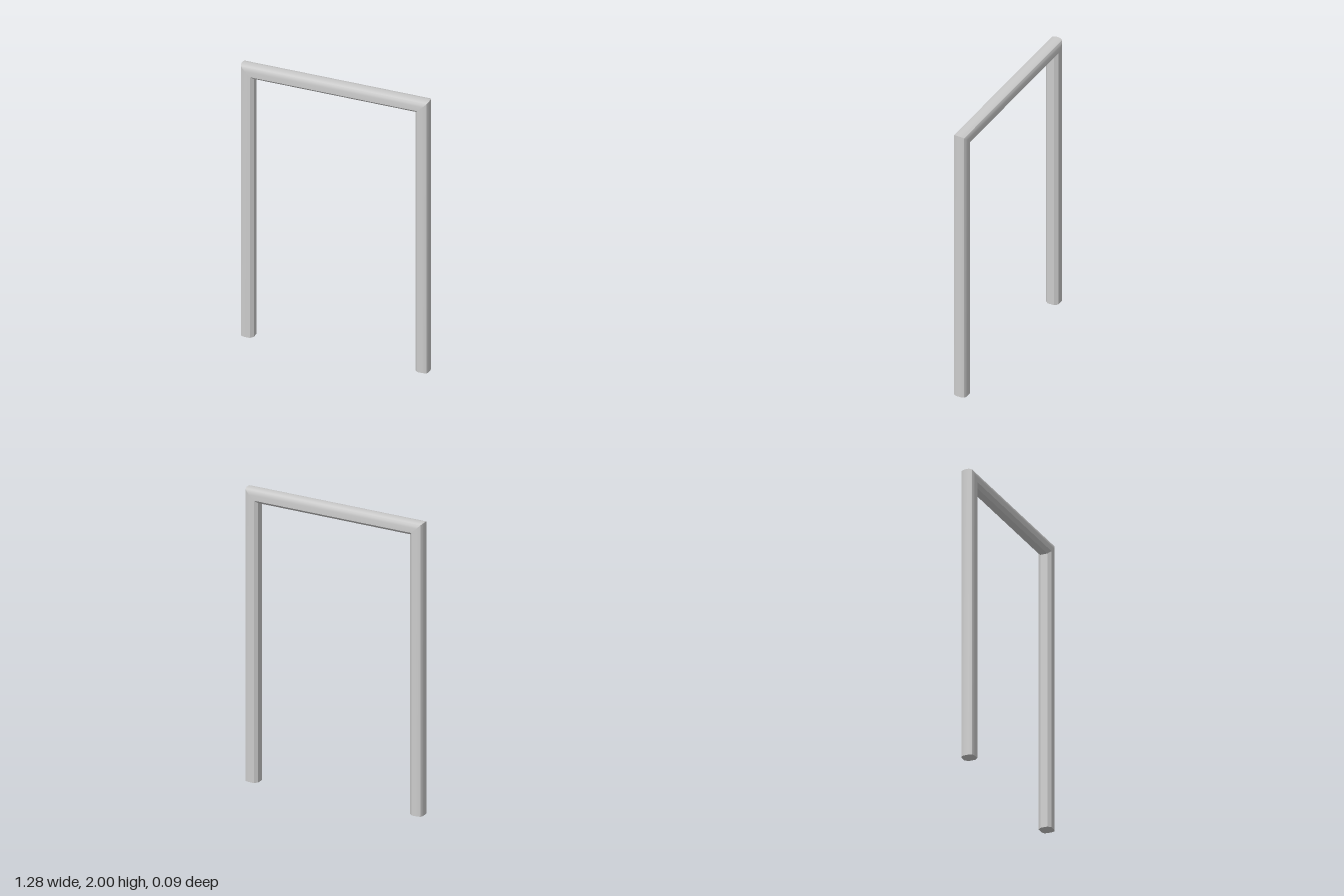
import * as THREE from 'three';
import { toCreasedNormals } from 'three/addons/utils/BufferGeometryUtils.js';

const HALF_WIDTH = 0.64;
const HEIGHT = 2;

// Moulding profile: [distance in from the outer edge, depth z], front half
const half = [
  [0, 0.012], [0.002, 0.025], [0.007, 0.037], [0.02, 0.043], [0.035, 0.045],
  [0.07, 0.045], [0.09, 0.024],
];
const profile = [...half, ...half.map(([d, z]) => [d, -z]).reverse()];

// Cross-sections along the frame: foot, mitred corner, mitred corner, foot
const stations = [
  ([d, z]) => [-HALF_WIDTH + d, 0, z],
  ([d, z]) => [-HALF_WIDTH + d, HEIGHT - d, z],
  ([d, z]) => [HALF_WIDTH - d, HEIGHT - d, z],
  ([d, z]) => [HALF_WIDTH - d, 0, z],
];

// One bar between two neighbouring stations, closed where it meets the floor
function bar(name, from, material) {
  const n = profile.length;
  const start = profile.map(stations[from]);
  const end = profile.map(stations[from + 1]);
  const positions = [...start, ...end].flat();
  const index = [];
  for (let i = 0; i < n; i++) {
    const j = (i + 1) % n;
    index.push(i, j, n + j, i, n + j, n + i);
  }
  for (let i = 1; i < n - 1; i++) {
    if (from === 0) index.push(0, i + 1, i);
    if (from === 2) index.push(n, n + i, n + i + 1);
  }
  const geometry = new THREE.BufferGeometry();
  geometry.setAttribute('position', new THREE.Float32BufferAttribute(positions, 3));
  geometry.setIndex(index);
  const mesh = new THREE.Mesh(toCreasedNormals(geometry, 0.6), material);
  mesh.name = name;
  return mesh;
}

export function createModel() {
  const group = new THREE.Group();
  group.name = 'doorFrame';
  const material = new THREE.MeshStandardMaterial({ color: 0xcccccc });
  ['rightPost', 'topRail', 'leftPost'].forEach((name, i) => group.add(bar(name, i, material)));
  return group;
}
